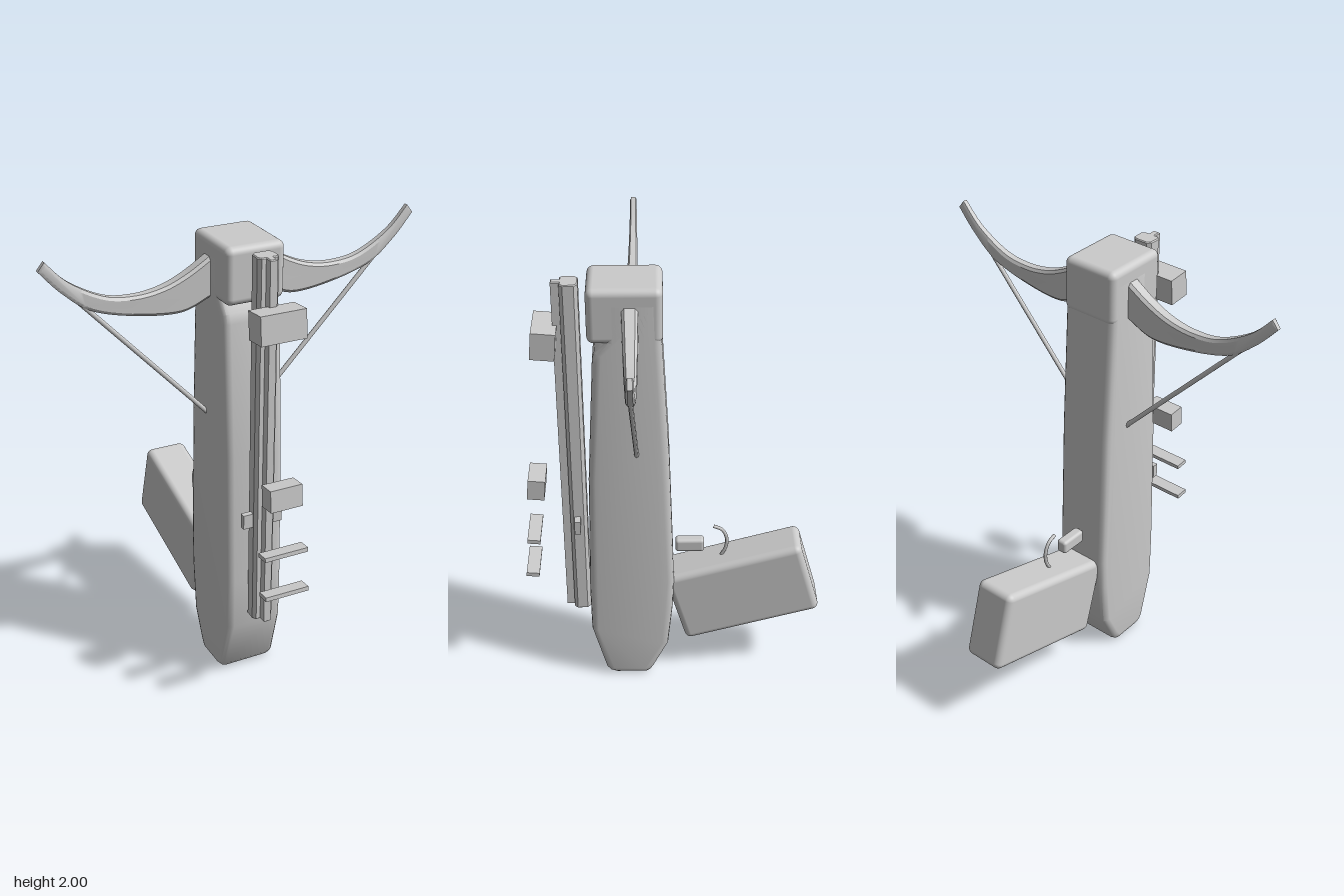
import * as THREE from 'three';
import { toCreasedNormals } from 'three/addons/utils/BufferGeometryUtils.js';
import { RoundedBoxGeometry } from 'three/addons/geometries/RoundedBoxGeometry.js';

const grey = new THREE.MeshStandardMaterial({ color: 0xcccccc });
const vec = (p) => new THREE.Vector3(...p);
const shapeOf = (pts) => new THREE.Shape(pts.map(([x, y]) => new THREE.Vector2(x, y)));

// Extrusion centred on z = 0, with the bevel kept inside the outline
function slab(shape, depth, bevel, segments = 3) {
  const geo = new THREE.ExtrudeGeometry(shape, {
    depth: depth - 2 * bevel, bevelEnabled: bevel > 0, bevelSize: bevel,
    bevelThickness: bevel, bevelOffset: -bevel, bevelSegments: segments, curveSegments: 12,
  });
  return geo.translate(0, 0, -(depth - 2 * bevel) / 2);
}

export function createModel() {
  const model = new THREE.Group();
  const add = (name, geo, pos = [0, 0, 0], tilt = 0) => {
    const mesh = new THREE.Mesh(geo, grey);
    mesh.name = name;
    mesh.position.set(...pos);
    mesh.rotation.x = tilt;
    model.add(mesh);
    return mesh;
  };

  // Stock: side outline in (z, y), extruded across the width
  const stock = slab(shapeOf([
    [0.13, 0.005], [0.27, 0.005], [0.3, 0.015], [0.32, 0.04], [0.38, 0.27], [0.382, 0.5],
    [0.368, 1.1], [0.335, 1.68], [0.325, 1.72], [0.28, 1.775], [0.28, 1.96], [0.055, 1.96],
    [0.05, 1.75], [0.022, 1.2], [0.003, 0.55], [0.008, 0.4], [0.03, 0.18], [0.095, 0.045], [0.11, 0.02],
  ]), 0.26, 0.03);
  add('stock', toCreasedNormals(stock.rotateY(-Math.PI / 2), 0.6));
  add('stockHead', new RoundedBoxGeometry(0.26, 0.24, 0.308, 4, 0.03), [0, 1.88, 0.2]);

  // Grip, catch and trigger at the back
  add('grip', new RoundedBoxGeometry(0.195, 0.371, 0.635, 4, 0.03), [0, 0.447, -0.31], 0.28);
  add('catch', new RoundedBoxGeometry(0.05, 0.064, 0.13, 3, 0.014), [0, 0.673, -0.07]);
  const triggerPath = new THREE.CatmullRomCurve3(
    [[0, 0.768, -0.175], [0, 0.748, -0.215], [0, 0.7, -0.237], [0, 0.65, -0.233], [0, 0.6, -0.21]].map(vec));
  add('trigger', new THREE.TubeGeometry(triggerPath, 20, 0.008, 8));

  // Rail with a raised centre ridge; outline in (x, -z)
  const half = [[0.03, -0.385], [0.045, -0.4], [0.047, -0.445], [0.035, -0.46], [0.016, -0.46], [0.016, -0.495]];
  const railOutline = [...half, ...half.map(([x, y]) => [-x, y]).reverse()];
  add('rail', slab(shapeOf(railOutline), 1.645, 0.004, 1).rotateX(-Math.PI / 2), [0, 1.162, 0]);

  // Floating sight blocks and bars in front of the rail
  const sights = [
    ['upperSightBlock', 0.2, 0.12, 0.102, 1.737, 0.533],
    ['lowerSightBlock', 0.145, 0.096, 0.076, 1.019, 0.6],
    ['upperSightBar', 0.2, 0.019, 0.058, 0.762, 0.622],
    ['lowerSightBar', 0.2, 0.019, 0.058, 0.58, 0.636],
  ];
  for (const [name, w, h, d, y, z] of sights) add(name, new THREE.BoxGeometry(w, h, d), [0, y, z], -0.09);

  // Bow limb: curved front outline, thinner towards the tip
  const limbShape = new THREE.Shape();
  limbShape.moveTo(0.08, 1.94);
  limbShape.lineTo(0.13, 1.925);
  limbShape.splineThru([[0.23, 1.865], [0.33, 1.825], [0.445, 1.81], [0.57, 1.828], [0.71, 1.905], [0.802, 2.0]]
    .map(([x, y]) => new THREE.Vector2(x, y)));
  limbShape.lineTo(0.83, 1.965);
  limbShape.splineThru([[0.74, 1.865], [0.62, 1.775], [0.43, 1.724], [0.25, 1.71], [0.13, 1.755]]
    .map(([x, y]) => new THREE.Vector2(x, y)));
  limbShape.lineTo(0.08, 1.78);

  for (const side of [1, -1]) {
    const sideName = side > 0 ? 'left' : 'right';
    const limb = slab(limbShape, 0.068, 0.012, 1);
    const p = limb.attributes.position;
    for (let i = 0; i < p.count; i++) {
      const t = THREE.MathUtils.clamp((p.getX(i) - 0.1) / 0.73, 0, 1);
      p.setZ(i, p.getZ(i) * (1 - 0.6 * t) + 0.179 - 0.01 * t);
    }
    // A half turn mirrors the limb without flipping its faces
    if (side < 0) {
      limb.translate(0, 0, -0.174);
      for (let i = 0; i < p.count; i++) p.setZ(i, -p.getZ(i));
      limb.rotateY(Math.PI).translate(0, 0, 0.174);
      // restore outward winding after the depth flip
      for (let i = 0; i < p.count; i += 3) {
        const a = new THREE.Vector3().fromBufferAttribute(p, i);
        const b = new THREE.Vector3().fromBufferAttribute(p, i + 1);
        p.setXYZ(i, b.x, b.y, b.z);
        p.setXYZ(i + 1, a.x, a.y, a.z);
      }
    }
    limb.computeVertexNormals();
    add(sideName + 'Limb', toCreasedNormals(limb, 0.5));

    // String from the limb into the stock
    const string = new THREE.LineCurve3(vec([side * 0.74, 1.89, 0.172]), vec([side * 0.08, 1.185, 0.16]));
    add(sideName + 'String', new THREE.TubeGeometry(string, 1, 0.01, 8));

    // Small tab beside the rail
    add(sideName + 'RailTab', new THREE.BoxGeometry(0.05, 0.064, 0.026), [side * 0.065, 0.828, 0.427]);
  }
  return model;
}
